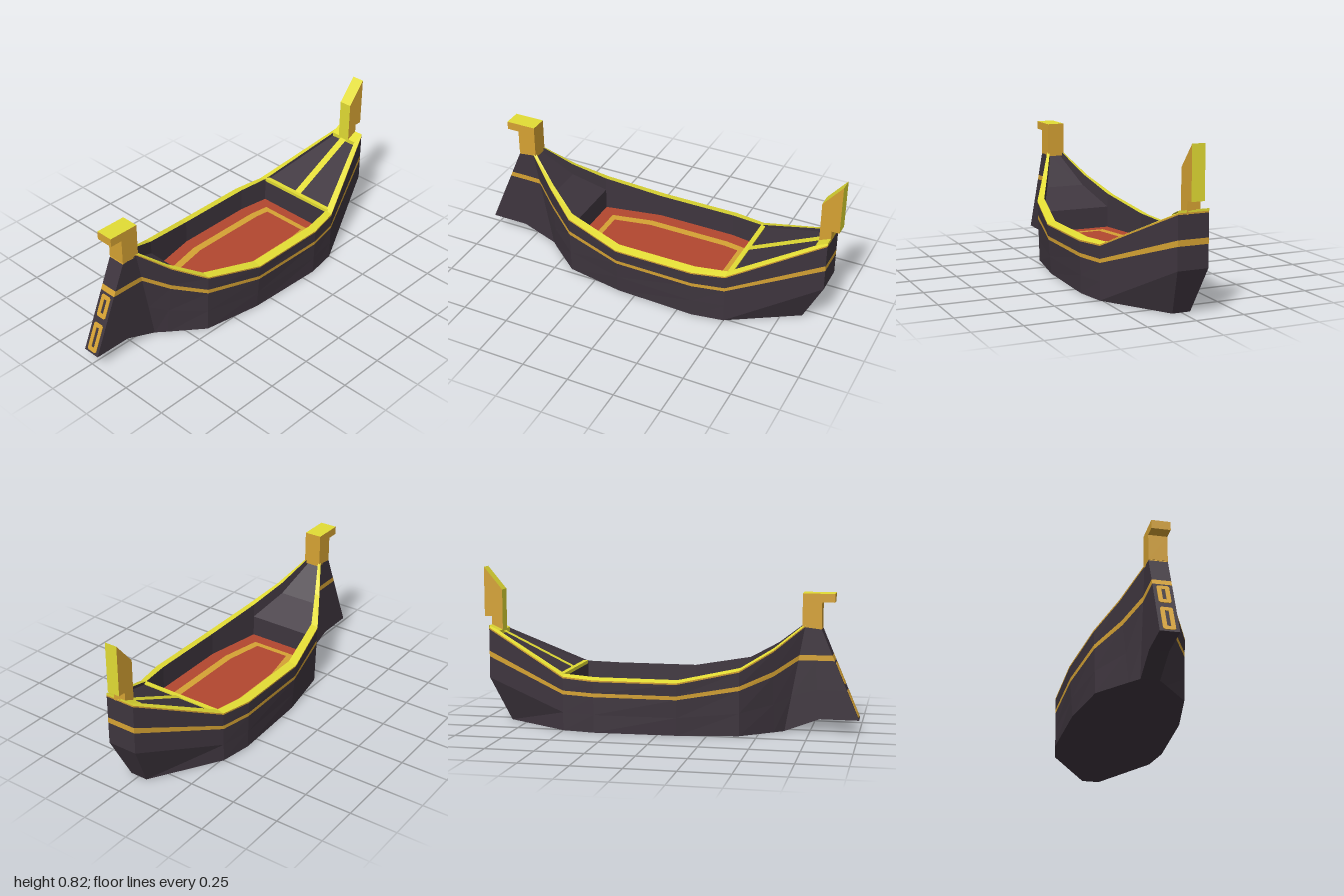
import * as THREE from 'three';

const mat = (name, color) => new THREE.MeshStandardMaterial({ name, color, side: THREE.DoubleSide });

// Flat-shaded mesh from a list of quads, optionally mirrored across x
const flip = ([x, y, z]) => [-x, y, z];
function quadMesh(name, material, quads, mirror = false) {
  const all = mirror ? quads.concat(quads.map(q => q.map(flip).reverse())) : quads;
  const pos = all.flatMap(([a, b, c, d]) => [a, b, c, a, c, d].flat());
  const geo = new THREE.BufferGeometry();
  geo.setAttribute('position', new THREE.Float32BufferAttribute(pos, 3));
  geo.computeVertexNormals();
  const mesh = new THREE.Mesh(geo, material);
  mesh.name = name;
  return mesh;
}

// Flat strip spanning both sides between neighbouring points (listed bow to stern)
const across = pts => pts.slice(1).map((p, i) => [pts[i], p, flip(p), flip(pts[i])]);

// Shape from points, with an optional hole
function outline(pts, hole) {
  const s = new THREE.Shape(pts.map(p => new THREE.Vector2(...p)));
  if (hole) s.holes.push(new THREE.Path(hole.map(p => new THREE.Vector2(...p))));
  return s;
}

// Chamfered rectangle
const chamfered = (w, h, c) => [[-w + c, -h], [w - c, -h], [w, -h + c], [w, h - c],
  [w - c, h], [-w + c, h], [-w, h - c], [-w, -h + c]];

export function createModel() {
  const model = new THREE.Group();
  model.name = 'boat';
  const dark = mat('darkTimber', 0x3e353e);
  const gold = mat('gold', 0xd5a233);
  const yellow = mat('yellow', 0xe2dc34);
  const red = mat('redFloor', 0xb2472f);
  const add = (...a) => model.add(quadMesh(...a));

  // Hull stations, bow to stern: bottom, optional knuckle, top as [x, y, z];
  // stripe heights; inner half-width of the rail
  const stations = [
    { b: [.047, .07, 1], t: [.047, .54, .8], s: [.372, .4] },
    { b: [.047, .07, .8], t: [.047, .545, .76], s: [.372, .4] },
    { b: [.047, 0, .62], t: [.047, .55, .72], s: [.37, .398], inner: .03 },
    { b: [.09, 0, .57], t: [.137, .43, .57], s: [.295, .32], inner: .108 },
    { b: [.22, 0, .41], t: [.23, .335, .41], s: [.233, .256], inner: .19 },
    { b: [.275, 0, .1], t: [.295, .272, .1], s: [.185, .205], inner: .25 },
    { b: [.29, 0, -.33], t: [.295, .272, -.33], s: [.185, .205], inner: .25 },
    { b: [.262, 0, -.5], t: [.262, .28, -.5], s: [.188, .208], inner: .225 },
    { b: [.047, 0, -.85], k: [.08, .23, -.96], t: [.08, .5, -.96], s: [.345, .375], inner: .055 },
  ];
  const lerp = (a, b, y) => a.map((v, i) => v + (b[i] - v) * (y - a[1]) / (b[1] - a[1]));
  const rings = stations.map(({ b, k, t, s }) => {
    const knuckle = k || lerp(b, t, (b[1] + s[0]) / 2);
    return [b, knuckle, lerp(knuckle, t, s[0]), lerp(knuckle, t, s[1]), lerp(knuckle, t, t[1] - .008), t];
  });

  // Hull skin: planking, gold stripe and gold lip, wrapped round bow and stern
  const last = rings.length - 1;
  const band = i => {
    const q = rings.slice(1).map((r, s) => [rings[s][i], r[i], r[i + 1], rings[s][i + 1]]);
    const bow = rings[0], stern = rings[last];
    const ends = [
      [flip(bow[i]), bow[i], bow[i + 1], flip(bow[i + 1])],
      [stern[i], flip(stern[i]), flip(stern[i + 1]), stern[i + 1]],
    ];
    return q.concat(q.map(f => f.map(flip).reverse()), ends);
  };
  add('hullSides', dark, [0, 1, 3].flatMap(band));
  add('hullStripe', gold, band(2));
  add('hullLip', gold, band(4));
  add('hullBottom', dark, across(rings.map(r => flip(r[0]))).map(q => q.reverse()).map(q => q.reverse()));

  // Rail along the sheer
  const railOut = rings.slice(2).map(r => r[5]);
  const railIn = stations.slice(2).map(({ t, inner }) => [inner, t[1] + .01, t[2]]);
  add('rail', yellow, railOut.slice(1).map((p, i) => [railOut[i], p, railIn[i + 1], railIn[i]]), true);

  // Inside: decks, well floor, walls and bulkheads
  const inside = (from, ys) => ys.map((y, i) => [railIn[from + i][0], y, railIn[from + i][2]]);
  const foreDeck = inside(0, [.53, .375, .27]);
  const well = inside(2, [.155, .155, .155, .155]);
  const aftDeck = inside(5, [.275, .492]);
  add('foreDeck', dark, across(foreDeck));
  add('wellFloor', red, across(well));
  add('aftDeck', dark, across(aftDeck));
  const walls = [[foreDeck, 0], [well, 2], [aftDeck, 5]].flatMap(([line, from]) =>
    line.slice(1).map((p, i) => [railIn[from + i], railIn[from + i + 1], p, line[i]]));
  add('innerWalls', dark, walls, true);
  add('bulkheads', dark, [
    [well[0], flip(well[0]), flip(foreDeck[2]), foreDeck[2]],
    [flip(well[3]), well[3], aftDeck[0], flip(aftDeck[0])],
  ]);

  // Gold border on the well floor
  const outer = [[.16, .44], [.176, .33], [.176, -.12], [.13, -.34]];
  const inner = [[.125, .41], [.135, .33], [.135, -.11], [.095, -.31]];
  const loop = half => half.concat(half.map(([x, y]) => [-x, y]).reverse());
  const border = new THREE.Mesh(new THREE.ShapeGeometry(outline(loop(outer), loop(inner))), gold);
  border.name = 'floorBorder';
  border.rotation.x = -Math.PI / 2;
  border.position.y = .159;
  model.add(border);

  // Yellow beam, deck strip and stern cap
  const beam = new THREE.Mesh(new THREE.BoxGeometry(.46, .02, .025), yellow);
  beam.name = 'crossBeam';
  beam.position.set(0, .283, -.513);
  model.add(beam);
  add('deckStrip', yellow, across([[.02, .293, -.52], [.02, .48, -.91]]));
  add('sternCap', yellow, across([[.082, .485, -.9], [.08, .512, -.96]]));
  add('sternCapEdges', yellow, [
    [[-.08, .455, -.9], [.08, .455, -.9], [.08, .485, -.9], [-.08, .485, -.9]],
    [[.08, .5, -.96], [-.08, .5, -.96], [-.08, .512, -.96], [.08, .512, -.96]],
  ]);

  // Posts: a [z, y] profile extruded across x, with chosen edges in yellow
  function post(name, profile, half, yellowEdges) {
    const group = new THREE.Group();
    group.name = name;
    const edges = profile.map(([z, y], i) => {
      const [z2, y2] = profile[(i + 1) % profile.length];
      return [[half, y, z], [-half, y, z], [-half, y2, z2], [half, y2, z2]].reverse();
    });
    const cheeks = THREE.ShapeUtils.triangulateShape(profile.map(p => new THREE.Vector2(...p)), [])
      .map(t => t.map(i => [half, profile[i][1], profile[i][0]]).reverse())
      .map(([a, b, c]) => [a, b, c, c]);
    group.add(
      quadMesh(name + 'Cheeks', gold, cheeks, true),
      quadMesh(name + 'Edges', gold, edges.filter((_, i) => !yellowEdges.includes(i))),
      quadMesh(name + 'Faces', yellow, edges.filter((_, i) => yellowEdges.includes(i))));
    model.add(group);
  }
  post('bowHead', [[.705, .53], [.803, .538], [.803, .67], [.868, .67], [.868, .714], [.705, .714]], .047, [4]);
  post('sternPost', [[-.96, .49], [-.9, .46], [-.9, .7], [-1, .82], [-1, .555], [-.96, .555]], .034, [1, 2, 3]);

  // Gold frames on the sloping bow face
  const tilt = Math.atan2(.2, .47);
  for (const [lo, hi] of [[.25, .36], [.08, .22]]) {
    const y = (lo + hi) / 2, h = (hi - lo) / 2 / Math.cos(tilt);
    const geo = new THREE.ExtrudeGeometry(outline(chamfered(.03, h, .008), chamfered(.009, h - .023, .001)),
      { depth: .003, bevelEnabled: false });
    const frame = new THREE.Mesh(geo, gold);
    frame.name = 'bowFrame';
    frame.rotation.x = -tilt;
    frame.position.set(0, y, 1 - .2 * (y - .07) / .47);
    model.add(frame);
  }
  return model;
}
